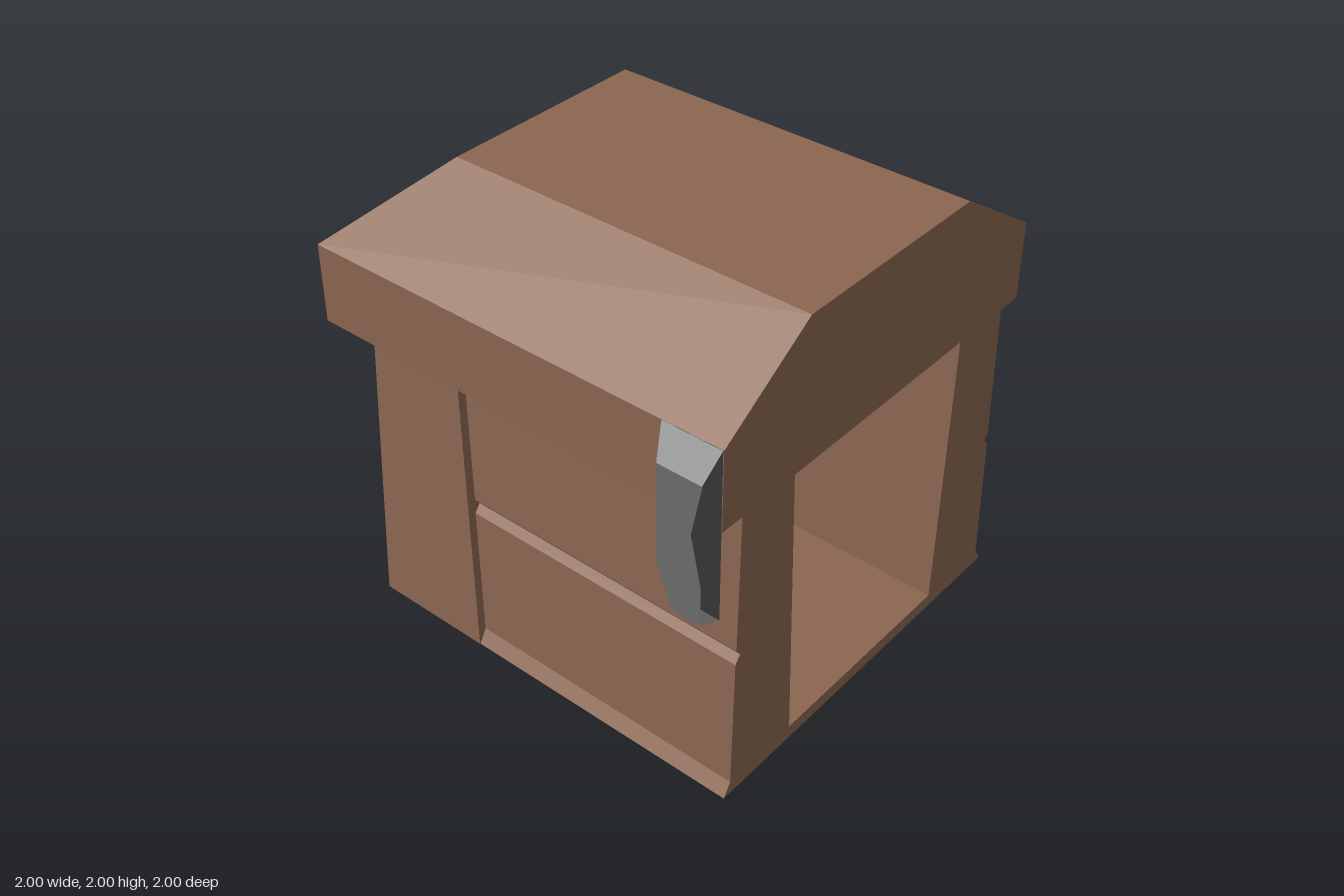
import * as THREE from 'three';
import { ConvexGeometry } from 'three/addons/geometries/ConvexGeometry.js';

const CUT = 0.99;   // plane of the open end
const MID = -0.054; // z of the chest's centre line

export function createModel() {
  const wood = new THREE.MeshStandardMaterial({ color: 0x8b6650 });
  wood.name = 'wood';
  const iron = new THREE.MeshStandardMaterial({ color: 0x6c6c6c, side: THREE.DoubleSide });
  iron.name = 'iron';
  const dark = new THREE.MeshStandardMaterial({ color: 0x363636, side: THREE.DoubleSide });
  dark.name = 'dark iron';

  const group = new THREE.Group();
  const add = (name, geometry, material = wood) => {
    const mesh = new THREE.Mesh(geometry, material);
    mesh.name = name;
    group.add(mesh);
    return mesh;
  };
  const shapeOf = (points) => new THREE.Shape(points.map(([x, y]) => new THREE.Vector2(x, y)));
  // Corners of a level rectangle
  const rect = (y, x0, x1, z0, z1) => [[x0, z0], [x1, z0], [x1, z1], [x0, z1]]
    .map(([x, z]) => new THREE.Vector3(x, y, z));
  const hull = (...levels) => new ConvexGeometry(levels.flat());

  // Trough: grooved front and back planks with the floor between them
  const outer = [[0.906, 0], [0.868, 0.06], [0.852, 0.665], [0.825, 0.7], [0.847, 0.73], [0.831, 1.35]];
  const inner = [[0.534, 1.35], [0.495, 0.06]];
  const half = [...outer, ...inner];
  const mirrored = half.map(([x, y]) => [-x, y]).reverse();
  const trough = new THREE.ExtrudeGeometry(shapeOf([...half, ...mirrored]), { depth: 1, bevelEnabled: false });
  trough.rotateY(Math.PI / 2);
  const p = trough.attributes.position;
  for (let i = 0; i < p.count; i++) {
    const t = p.getY(i) / 1.35;
    // the inner end follows the posts, the cut end leans very slightly
    p.setX(i, p.getX(i) < 0.5 ? -0.307 - 0.05 * t : 1 - (1 - CUT) * t);
  }
  trough.computeVertexNormals();
  add('trough', trough).position.z = MID;

  // Grooved end panel, raised off the ground between the posts
  const panel = new THREE.ExtrudeGeometry(shapeOf([
    [-0.814, 0.06], [-0.31, 0.06], [-0.358, 1.35], [-0.777, 1.35],
    [-0.793, 0.73], [-0.771, 0.7], [-0.798, 0.665],
  ]), { depth: 0.988, bevelEnabled: false });
  add('endPanel', panel).position.z = MID - 0.494;

  // Tapered corner posts
  for (const [side, name] of [[1, 'frontPost'], [-1, 'backPost']]) {
    add(name, hull(
      rect(0, -0.86, -0.305, side * 0.459, side * 0.908),
      rect(1.35, -0.815, -0.355, side * 0.494, side * 0.869),
    )).position.z = MID;
  }

  // Lid, hipped at the closed end
  add('lid', hull(
    rect(1.35, -1, CUT, -1, 0.888),
    rect(1.7, -1, CUT, -1, 0.888),
    rect(2, -0.68, CUT, -0.54, 0.43),
  ));

  // Half lock plate: bevelled rim, face with half a keyhole, dark backing
  const back = [[CUT, 1.705], [0.725, 1.705], [0.725, 1.18], [0.805, 0.95], [CUT, 0.95]];
  const face = [[CUT, 1.62], [0.795, 1.62], [0.795, 1.18], [0.865, 1], [CUT, 1]];
  const rim = [];
  for (let i = 0; i < 4; i++) {
    const a = [...back[i], 0.89], b = [...back[i + 1], 0.89];
    const c = [...face[i + 1], 1], d = [...face[i], 1];
    rim.push(...a, ...b, ...c, ...a, ...c, ...d);
  }
  const rimGeometry = new THREE.BufferGeometry();
  rimGeometry.setAttribute('position', new THREE.Float32BufferAttribute(rim, 3));
  rimGeometry.computeVertexNormals();
  add('lockRim', rimGeometry, iron);
  const keyhole = [[CUT, 1.18], [0.945, 1.39], [CUT, 1.61]];
  add('lockFace', new THREE.ShapeGeometry(shapeOf([...face, ...keyhole])), iron).position.z = 1;
  add('lockBacking', new THREE.ShapeGeometry(shapeOf(back)), dark).position.z = 0.892;

  return group;
}
